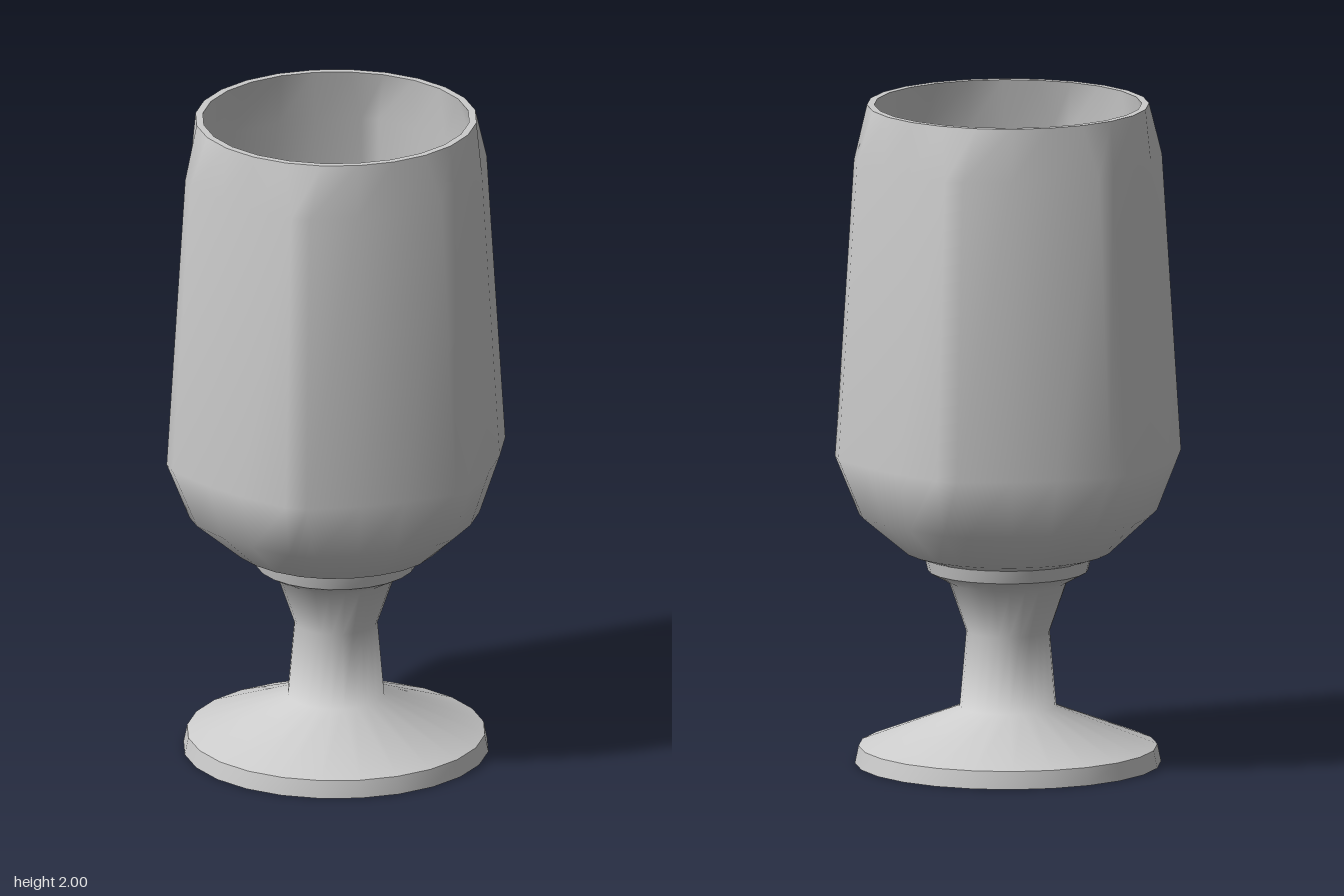
import * as THREE from 'three';

const SIDES = 24;
const material = new THREE.MeshStandardMaterial({ color: 0xcccccc });
const rad = THREE.MathUtils.degToRad;
const lerp = THREE.MathUtils.lerp;

// Point i of a ring; hex = 0 is a circle, hex = 1 a bulging hexagon with bevelled corners.
// Each sixth of the ring has two corner points and two points on the face.
function ringPoint(i, y, r, hex) {
  const k = i % 4;
  const sector = Math.floor(i / 4) * 60;
  const round = [-15.5, -0.5, 14.5, 29.5][k];
  const faceted = [-11.5, -4.5, 14, 30][k];
  const a = rad(sector + lerp(round, faceted, hex));
  const s = r * lerp(1, k < 2 ? 1 : 0.945, hex);
  return [s * Math.cos(a), y, s * Math.sin(a)];
}

// Smooth band through rows of [y, radius, hex]; upward rows face outward.
function loft(name, rows) {
  const positions = [];
  const index = [];
  rows.forEach(([y, r, hex = 0], j) => {
    for (let i = 0; i < SIDES; i++) {
      positions.push(...ringPoint(i, y, r, hex));
      if (j === rows.length - 1) continue;
      const n = (i + 1) % SIDES;
      const a = j * SIDES + i, b = j * SIDES + n;
      const c = a + SIDES, d = b + SIDES;
      index.push(a, c, b, b, c, d);
    }
  });
  const geometry = new THREE.BufferGeometry();
  geometry.setAttribute('position', new THREE.Float32BufferAttribute(positions, 3));
  geometry.setIndex(index);
  geometry.computeVertexNormals();
  const mesh = new THREE.Mesh(geometry, material);
  mesh.name = name;
  return mesh;
}

export function createModel() {
  const goblet = new THREE.Group();
  goblet.name = 'goblet';

  // Foot and stem
  goblet.add(
    loft('footUnderside', [[0, 0.001], [0, 0.458]]),
    loft('footEdge', [[0, 0.458], [0.053, 0.447]]),
    loft('footTopAndStem', [
      [0.053, 0.447], [0.17, 0.145], [0.4, 0.125], [0.55, 0.177], [0.585, 0.24],
    ]),
    loft('collar', [[0.585, 0.24], [0.625, 0.25]]),
  );

  // Bowl: round at the base and rim, six-sided between
  goblet.add(
    loft('bowlOutside', [
      [0.625, 0.25], [0.645, 0.31, 0.1], [0.76, 0.447, 0.65],
      [0.94, 0.52, 1], [1.84, 0.463, 1], [2, 0.422, 0],
    ]),
    loft('rim', [[2, 0.422], [2, 0.4]]),
    loft('bowlInside', [
      [2, 0.4, 0], [1.84, 0.441, 1], [0.94, 0.497, 1],
      [0.77, 0.425, 0.65], [0.665, 0.3, 0.1], [0.64, 0.18], [0.635, 0.001],
    ]),
  );
  return goblet;
}
